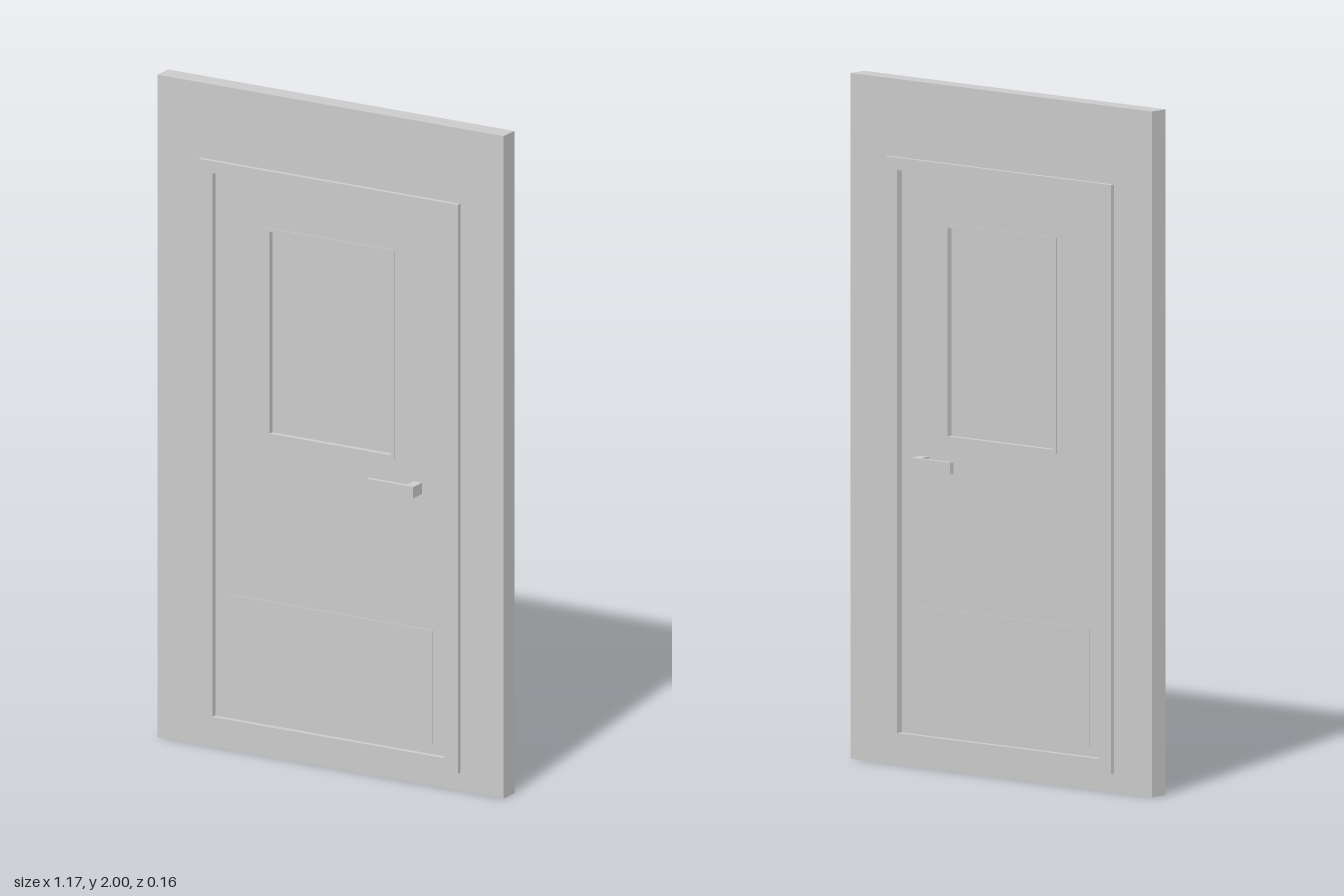
import * as THREE from 'three';

const material = new THREE.MeshStandardMaterial({ color: 0xcccccc, flatShading: true });

// Each rectangle is [left, bottom, right, top]
function trace(path, [x0, y0, x1, y1]) {
  path.moveTo(x0, y0);
  path.lineTo(x1, y0);
  path.lineTo(x1, y1);
  path.lineTo(x0, y1);
  path.closePath();
  return path;
}

// Slab centred on z = 0, with an optional rectangular hole
function slab(name, outer, halfDepth, hole) {
  const shape = trace(new THREE.Shape(), outer);
  if (hole) shape.holes.push(trace(new THREE.Path(), hole));
  const geometry = new THREE.ExtrudeGeometry(shape, { depth: 2 * halfDepth, bevelEnabled: false });
  geometry.translate(0, 0, -halfDepth);
  const mesh = new THREE.Mesh(geometry, material);
  mesh.name = name;
  return mesh;
}

// L-shaped lever handle, drawn from above and given its height by extrusion
function handle(name, side) {
  const plan = new THREE.Shape([
    [0.28, 0.028], [0.309, 0.028], [0.309, 0.08],
    [0.153, 0.08], [0.153, 0.066], [0.28, 0.066],
  ].map(([x, z]) => new THREE.Vector2(x, -side * z)));
  const geometry = new THREE.ExtrudeGeometry(plan, { depth: 0.034, bevelEnabled: false });
  geometry.rotateX(-Math.PI / 2);
  geometry.translate(0, 0.876, 0);
  const mesh = new THREE.Mesh(geometry, material);
  mesh.name = name;
  return mesh;
}

export function createModel() {
  const model = new THREE.Group();
  model.name = 'doorInWall';

  const frameOuter = [-0.438, 0.055, 0.438, 1.773];
  const frameInner = [-0.391, 0.095, 0.391, 1.737];
  const windowOpening = [-0.205, 0.977, 0.205, 1.586];

  // Wall panel and the frame standing proud of both its faces
  model.add(slab('wall', [-0.584, 0, 0.584, 2], 0.03, frameOuter));
  model.add(slab('doorFrame', frameOuter, 0.044, frameInner));

  // Door leaf with a narrow gap on the latch side
  const door = new THREE.Group();
  door.name = 'door';
  door.add(slab('doorLeaf', [-0.389, 0.096, 0.384, 1.736], 0.03, windowOpening));
  door.add(slab('windowTrim', [-0.216, 0.966, 0.216, 1.597], 0.033, windowOpening));
  door.add(slab('windowPane', windowOpening, 0.015));
  door.add(slab('kickPlate', [-0.345, 0.125, 0.345, 0.47], 0.033));

  // One lever on each face
  door.add(handle('frontHandle', 1), handle('backHandle', -1));
  model.add(door);

  return model;
}
